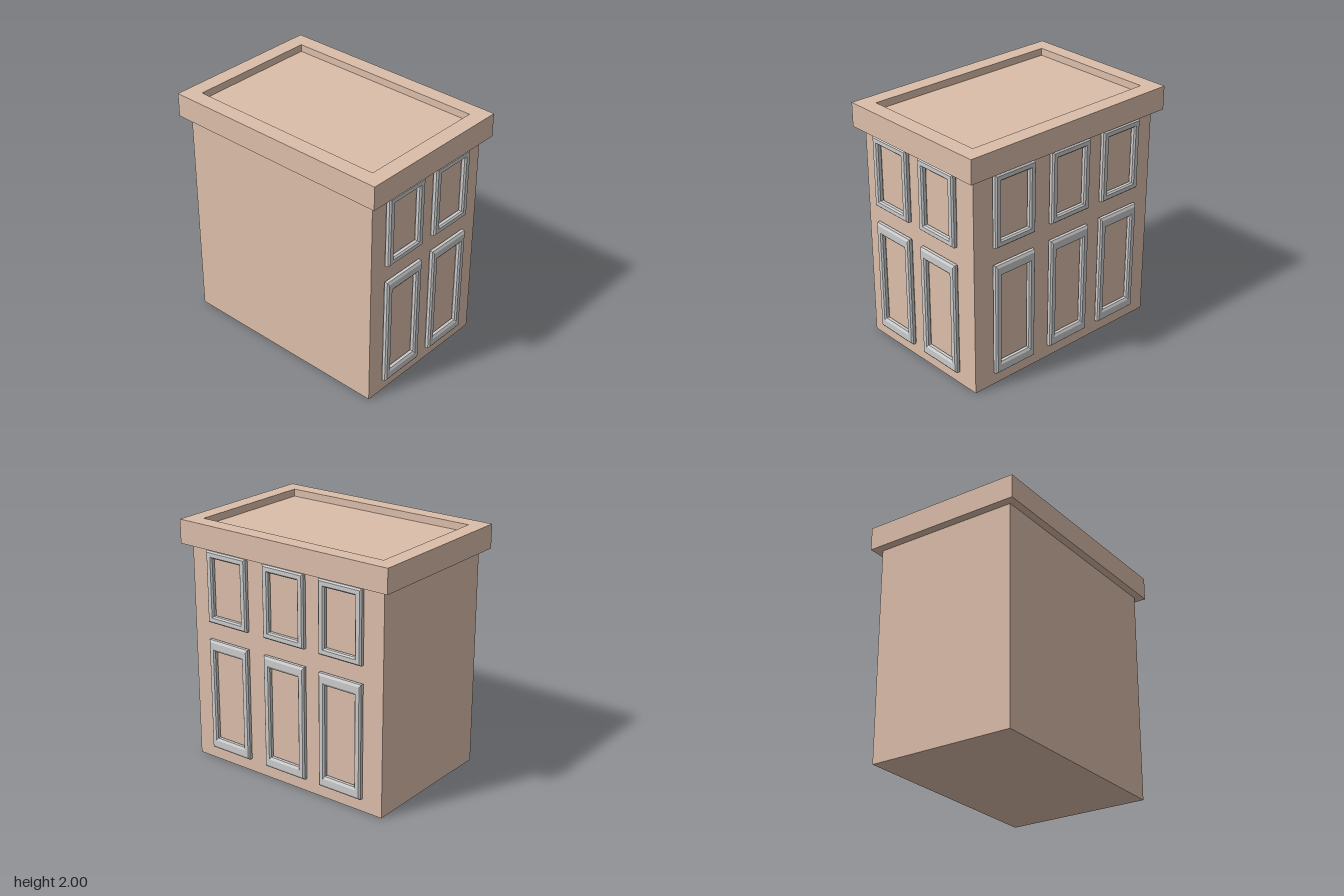
import * as THREE from 'three';

const wallMat = new THREE.MeshStandardMaterial({ color: 0xdcbeaa });
const frameMat = new THREE.MeshStandardMaterial({ color: 0xcccccc });

// Closed rectangle centred on the origin
function rect(PathType, w, h) {
  const p = new PathType();
  p.moveTo(-w / 2, -h / 2);
  p.lineTo(w / 2, -h / 2);
  p.lineTo(w / 2, h / 2);
  p.lineTo(-w / 2, h / 2);
  p.closePath();
  return p;
}

// Rectangular ring extruded along +z
function ring(w, h, innerW, innerH, options) {
  const shape = rect(THREE.Shape, w, h);
  shape.holes.push(rect(THREE.Path, innerW, innerH));
  return new THREE.ExtrudeGeometry(shape, options);
}

function box(name, w, h, d, y0) {
  const mesh = new THREE.Mesh(new THREE.BoxGeometry(w, h, d), wallMat);
  mesh.name = name;
  mesh.position.y = y0 + h / 2;
  return mesh;
}

export function createModel() {
  const model = new THREE.Group();
  model.name = 'building';

  // Walls
  const body = box('walls', 1.836, 1.805, 1.236, 0);
  model.add(body);

  // Overhanging cornice with a sunken roof inside it
  const cornice = new THREE.Mesh(
    ring(1.974, 1.364, 1.714, 1.104, { depth: 0.195, bevelEnabled: false }), wallMat);
  cornice.name = 'cornice';
  cornice.rotation.x = -Math.PI / 2;
  cornice.position.y = 1.805;
  model.add(cornice, box('roof', 1.714, 0.15, 1.104, 1.79));

  // Window frame with chamfered edges, its back on z = 0
  const bevel = 0.012, depth = 0.05;
  const frameGeo = ring(0.395, 0.59, 0.28, 0.475, {
    depth: depth - 2 * bevel, bevelEnabled: true, bevelSegments: 1,
    bevelSize: bevel, bevelThickness: bevel, bevelOffset: -bevel,
  });
  frameGeo.translate(0, 0, bevel);

  // Each storey: centre height and vertical stretch
  const storeys = [
    { name: 'lower', y: 0.584, stretch: 0.94 / 0.59 },
    { name: 'upper', y: 1.495, stretch: 1 },
  ];
  function addWindows(side, columns, place) {
    for (const { name, y, stretch } of storeys) {
      for (const c of columns) {
        const frame = new THREE.Mesh(frameGeo, frameMat);
        frame.name = `${name}${side}WindowFrame`;
        frame.scale.y = stretch;
        place(frame, y, c);
        model.add(frame);
      }
    }
  }

  // Two columns on the +x wall, three on the back
  addWindows('Left', [0.28, -0.25], (f, y, z) => {
    f.position.set(0.918, y, z);
    f.rotation.y = Math.PI / 2;
  });
  addWindows('Back', [0.547, -0.015, -0.55], (f, y, x) => {
    f.position.set(x, y, -0.617);
    f.rotation.y = Math.PI;
  });

  return model;
}
